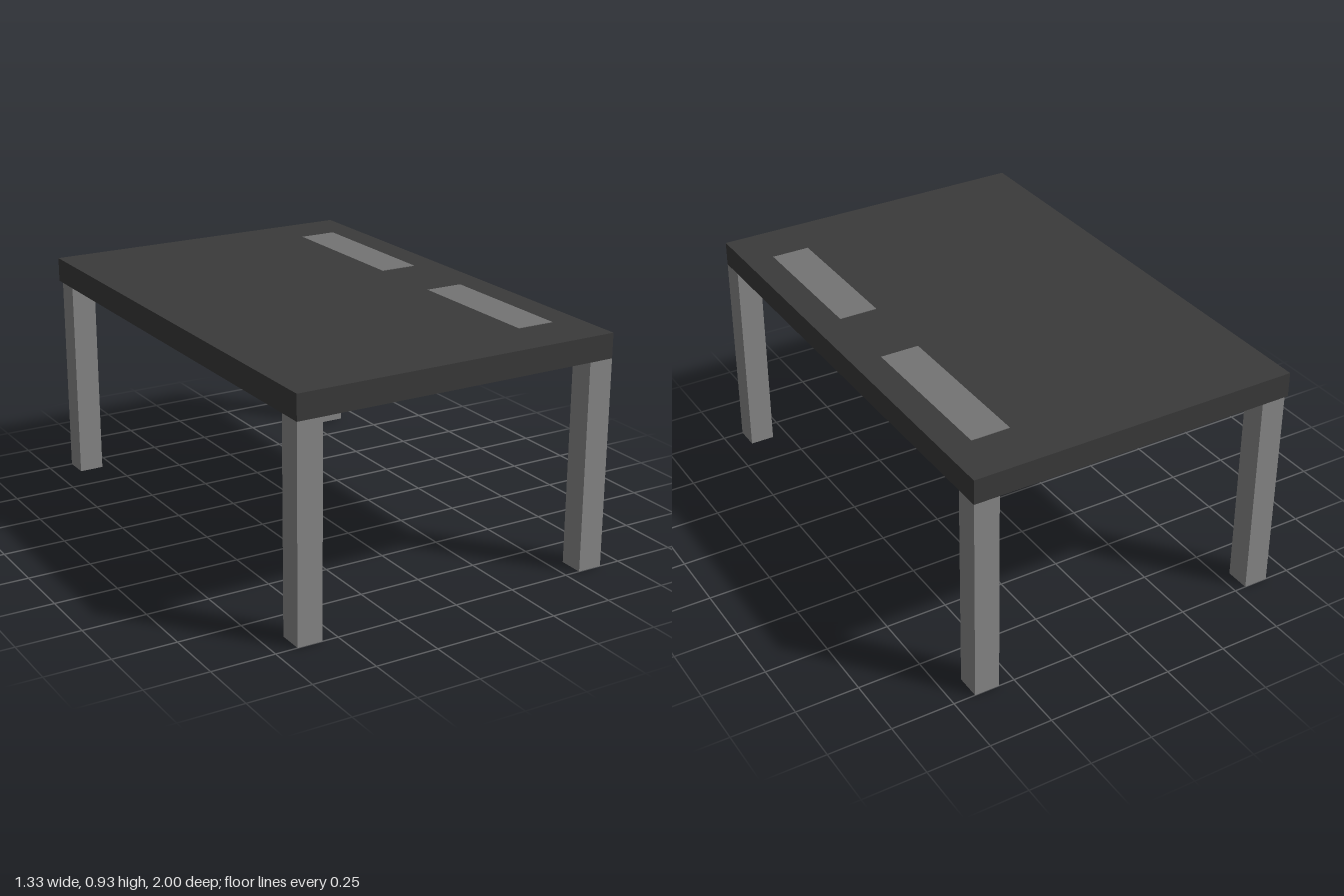
import * as THREE from 'three';

export function createModel() {
  const table = new THREE.Group();
  table.name = 'table';

  const dark = new THREE.MeshStandardMaterial({ color: 0x3a3a3a });
  const legGrey = new THREE.MeshStandardMaterial({ color: 0x888888 });
  const inlayGrey = new THREE.MeshStandardMaterial({ color: 0x747474 });

  // Box given by its minimum and maximum corners
  function addBox(name, min, max, material) {
    const size = max.map((v, i) => v - min[i]);
    const mesh = new THREE.Mesh(new THREE.BoxGeometry(...size), material);
    mesh.position.set(...min.map((v, i) => (v + max[i]) / 2));
    mesh.name = name;
    table.add(mesh);
  }

  const halfX = 0.663, halfZ = 1, under = 0.83, top = 0.928, leg = 0.1;

  // Slab top
  addBox('tabletop', [-halfX, under, -halfZ], [halfX, top, halfZ], dark);

  // Square corner legs; the one at the back right sits slightly inward
  const legs = [
    ['frontLeftLeg', halfX - leg, halfZ - leg],
    ['frontRightLeg', -halfX, halfZ - leg],
    ['backLeftLeg', halfX - leg, -halfZ],
    ['backRightLeg', -halfX + 0.015, -halfZ],
  ];
  for (const [name, x, z] of legs) {
    addBox(name, [x, 0, z], [x + leg, under, z + leg], legGrey);
  }

  // Two thin strips set into the top along the left side
  for (const [name, z0, z1] of [['backInlay', -0.79, -0.14], ['frontInlay', 0.19, 0.785]]) {
    addBox(name, [0.395, top - 0.01, z0], [0.55, top + 0.002, z1], inlayGrey);
  }

  return table;
}
